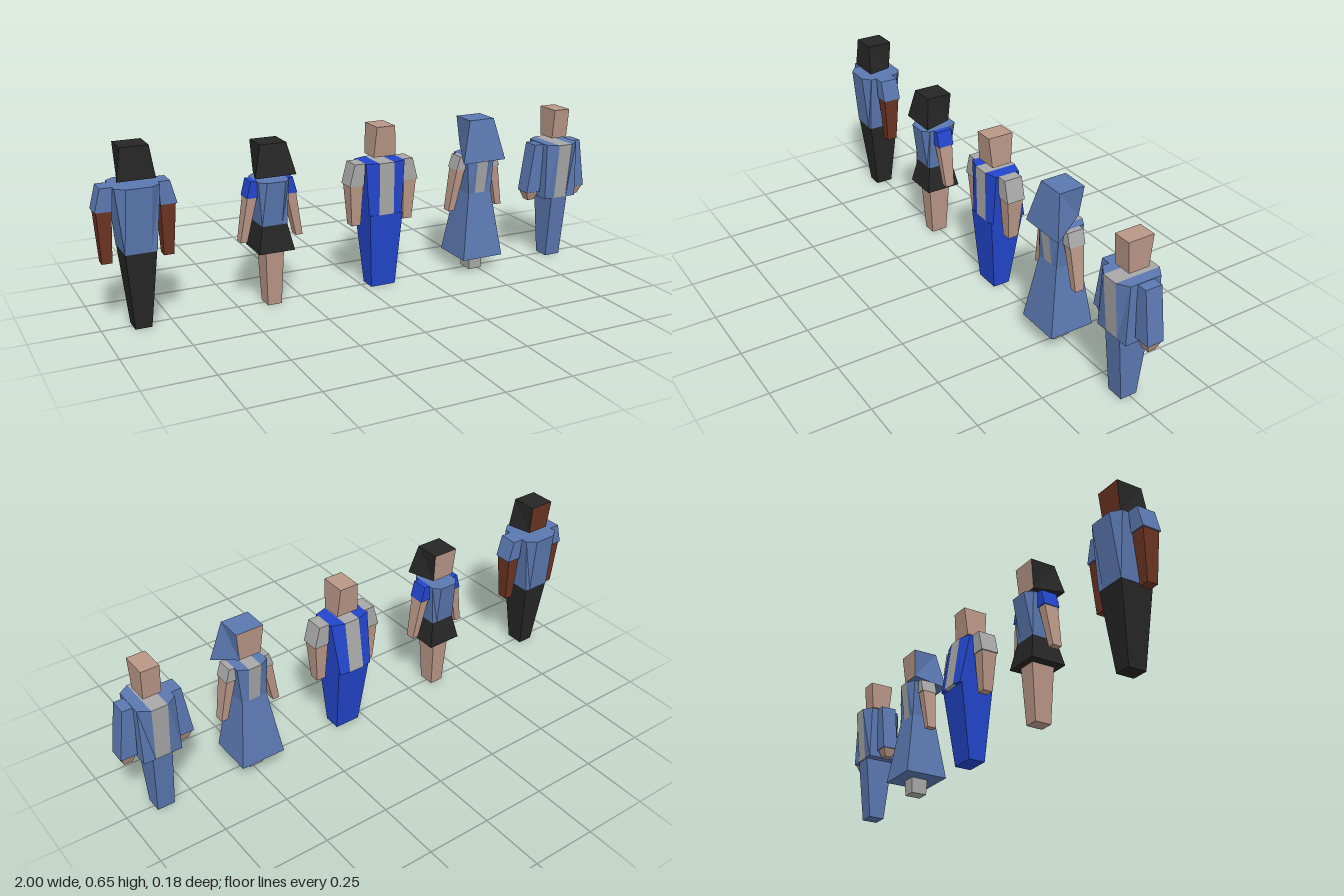
import * as THREE from 'three';

const mat = (color) => new THREE.MeshStandardMaterial({ color, flatShading: true });
const denim = mat(0x5b78b0);
const royal = mat(0x2346cc);
const grey = mat(0xa8a8a8);
const skin = mat(0xb89686);
const brown = mat(0x6b3422);
const black = mat(0x262626);

// Corner order of the six sides of a block
const FACES = {
  bottom: [0, 1, 2, 3], top: [4, 7, 6, 5], face: [0, 4, 5, 1],
  back: [3, 2, 6, 7], right: [0, 3, 7, 4], left: [1, 5, 6, 2],
};

// Four corners at one height; the z range may differ between the x0 and x1 ends
const ring = (y, x0, x1, za0, zb0, za1 = za0, zb1 = zb0) =>
  [[x0, y, za0], [x1, y, za1], [x1, y, zb1], [x0, y, zb0]];
const rect = (y, w, d, z = 0.004) => ring(y, -w, w, z - d, z + d);

// Six-sided block between two rings of four corners
function block(parent, name, material, lower, upper, sides = Object.keys(FACES)) {
  const corners = [...lower, ...upper];
  const pos = [];
  for (const side of sides) {
    const [a, b, c, d] = FACES[side];
    for (const i of [a, b, c, a, c, d]) pos.push(...corners[i]);
  }
  const geometry = new THREE.BufferGeometry();
  geometry.setAttribute('position', new THREE.Float32BufferAttribute(pos, 3));
  geometry.computeVertexNormals();
  const mesh = new THREE.Mesh(geometry, material);
  mesh.name = name;
  parent.add(mesh);
}

// Chest outline at one height: middle panel half-width c, full half-width w,
// depth d at the middle and ds at the sides
const level = (y, c, w, d, ds, z = 0.004) =>
  ({ y, c, w, front: z - d, back: z + d, sideFront: z - ds, sideBack: z + ds });

// Chest with a middle panel and two chamfered side panels
function torso(parent, panel, side, low, high) {
  const middle = (l) => ring(l.y, -l.c, l.c, l.front, l.back);
  const left = (l) => ring(l.y, l.c, l.w, l.front, l.back, l.sideFront, l.sideBack);
  const right = (l) => ring(l.y, -l.w, -l.c, l.sideFront, l.sideBack, l.front, l.back);
  block(parent, 'chestPanel', panel, middle(low), middle(high));
  block(parent, 'leftSidePanel', side, left(low), left(high));
  block(parent, 'rightSidePanel', side, right(low), right(high));
}

// Mirrored arms; each section is height, inner x, outer x, half depth
function arms(parent, sleeve, hand, [shoulder, cuff, wrist, tip]) {
  for (const [side, k] of [['left', 1], ['right', -1]]) {
    const section = ([y, a, b, d]) =>
      ring(y, Math.min(k * a, k * b), Math.max(k * a, k * b), 0.004 - d, 0.004 + d);
    block(parent, side + 'Sleeve', sleeve, section(cuff), section(shoulder));
    block(parent, side + 'Hand', hand, section(tip), section(wrist));
  }
}
const wideArms = (top) => [
  [top, 0.078, 0.12, 0.036], [top - 0.083, 0.083, 0.142, 0.036],
  [top - 0.083, 0.084, 0.137, 0.032], [0.25, 0.09, 0.126, 0.02]];
const slimArms = (top) => [
  [top, 0.055, 0.08, 0.032], [0.415, 0.055, 0.096, 0.032],
  [0.415, 0.057, 0.093, 0.028], [0.25, 0.094, 0.12, 0.018]];

// Head wrapped in hair or a hood that flares to the back, open only at the face
function coveredHead(parent, cover, face, top, topWidth, chin, chinWidth, nape, napeWidth, napeZ) {
  const lower = [[-chinWidth, chin, -0.036], [chinWidth, chin, -0.036],
    [napeWidth, nape, napeZ], [-napeWidth, nape, napeZ]];
  const upper = rect(top, topWidth, 0.05);
  block(parent, 'headCover', cover, lower, upper, ['bottom', 'top', 'back', 'right', 'left']);
  block(parent, 'face', face, lower, upper, ['face']);
}

// Dark-haired figure in shirt and trousers
function trouserFigure(g) {
  block(g, 'legs', black, rect(0, 0.03, 0.034), rect(0.285, 0.055, 0.062));
  torso(g, denim, denim, level(0.285, 0.035, 0.056, 0.064, 0.064), level(0.52, 0.045, 0.078, 0.087, 0.06));
  arms(g, denim, brown, wideArms(0.52));
  coveredHead(g, black, brown, 0.655, 0.05, 0.54, 0.045, 0.54, 0.067, 0.06);
}

// Figure in a short skirt
function skirtFigure(g) {
  block(g, 'legs', skin, rect(0, 0.027, 0.032), rect(0.215, 0.035, 0.045));
  block(g, 'skirt', black, rect(0.213, 0.068, 0.069), rect(0.31, 0.048, 0.05));
  torso(g, denim, denim, level(0.31, 0.028, 0.048, 0.05, 0.05), level(0.475, 0.035, 0.058, 0.075, 0.05));
  arms(g, royal, skin, slimArms(0.475));
  coveredHead(g, black, skin, 0.61, 0.05, 0.497, 0.045, 0.495, 0.078, 0.075);
}

// Stout figure with an open jacket and a belly
function stoutFigure(g) {
  block(g, 'legs', royal, rect(0, 0.05, 0.033), rect(0.29, 0.068, 0.067, -0.006));
  torso(g, grey, royal, level(0.29, 0.03, 0.068, 0.076, 0.068, -0.014), level(0.49, 0.03, 0.08, 0.064, 0.048, 0.002));
  arms(g, grey, skin, wideArms(0.49));
  block(g, 'head', skin, rect(0.51, 0.045, 0.039), rect(0.625, 0.037, 0.05));
}

// Hooded figure in a long dress
function dressFigure(g) {
  block(g, 'feet', grey, rect(0, 0.027, 0.032), rect(0.1, 0.03, 0.036));
  block(g, 'dress', denim, rect(0.062, 0.087, 0.087), rect(0.32, 0.05, 0.05));
  torso(g, grey, denim, level(0.32, 0.022, 0.05, 0.05, 0.05), level(0.467, 0.024, 0.06, 0.07, 0.05));
  arms(g, grey, skin, slimArms(0.467));
  coveredHead(g, denim, skin, 0.61, 0.053, 0.497, 0.042, 0.45, 0.093, 0.083);
}

// Figure in a long-sleeved open jacket
function jacketFigure(g) {
  block(g, 'legs', denim, rect(0, 0.033, 0.032), rect(0.256, 0.037, 0.06));
  torso(g, grey, denim, level(0.255, 0.028, 0.072, 0.064, 0.064), level(0.477, 0.03, 0.07, 0.087, 0.06));
  arms(g, denim, skin, [
    [0.475, 0.067, 0.108, 0.032], [0.28, 0.077, 0.138, 0.032],
    [0.28, 0.081, 0.134, 0.028], [0.245, 0.09, 0.122, 0.015]]);
  block(g, 'head', skin, rect(0.497, 0.034, 0.039), rect(0.612, 0.034, 0.05));
}

export function createModel() {
  const model = new THREE.Group();
  model.name = 'standingFigures';
  const place = (name, build, x) => {
    const figure = new THREE.Group();
    figure.name = name;
    build(figure);
    figure.position.x = x;
    model.add(figure);
  };
  place('trouserFigure', trouserFigure, -0.86);
  place('skirtFigure', skirtFigure, -0.37);
  place('stoutFigure', stoutFigure, 0.075);
  place('dressFigure', dressFigure, 0.487);
  place('jacketFigure', jacketFigure, 0.86);
  return model;
}
